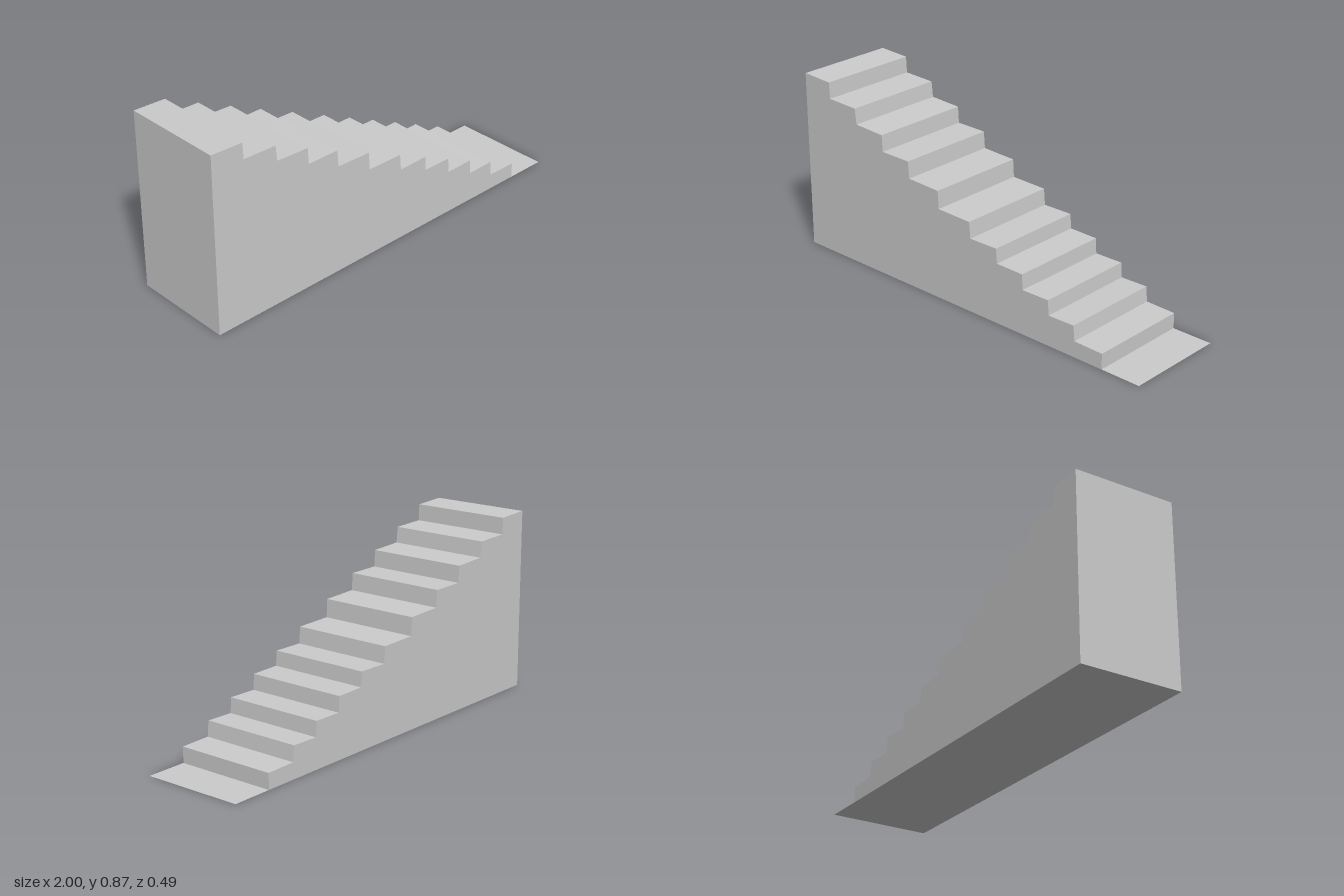
import * as THREE from 'three';

const DEPTH = 0.49;

// Each tread: [back x, back y, front x, front y], from the top down
const TREADS = [
  [-1, 0.865, -0.84, 0.858],
  [-0.836, 0.78, -0.67, 0.775],
  [-0.662, 0.7, -0.497, 0.693],
  [-0.492, 0.614, -0.331, 0.613],
  [-0.325, 0.532, -0.147, 0.526],
  [-0.142, 0.44, 0.043, 0.436],
  [0.05, 0.358, 0.203, 0.36],
  [0.208, 0.29, 0.354, 0.288],
  [0.358, 0.215, 0.502, 0.217],
  [0.507, 0.146, 0.645, 0.149],
  [0.652, 0.077, 0.802, 0.074],
];

export function createModel() {
  const model = new THREE.Group();
  model.name = 'staircase';

  // Solid flight of steps: stepped side profile extruded across its width
  const profile = new THREE.Shape();
  profile.moveTo(-1, 0);
  profile.lineTo(0.802, 0);
  for (const [backX, backY, frontX, frontY] of [...TREADS].reverse()) {
    profile.lineTo(frontX, frontY);
    profile.lineTo(backX, backY);
  }
  profile.closePath();
  const stepsGeometry = new THREE.ExtrudeGeometry(profile, { depth: DEPTH, bevelEnabled: false });
  stepsGeometry.translate(0, 0, -DEPTH / 2);
  const steps = new THREE.Mesh(
    stepsGeometry,
    new THREE.MeshStandardMaterial({ color: 0xcccccc, flatShading: true })
  );
  steps.name = 'steps';
  model.add(steps);

  // Thin landing sheet at the foot of the steps
  const landingGeometry = new THREE.PlaneGeometry(0.198, DEPTH);
  landingGeometry.rotateX(-Math.PI / 2);
  landingGeometry.translate(0.901, 0, 0);
  const landing = new THREE.Mesh(
    landingGeometry,
    new THREE.MeshStandardMaterial({ color: 0xcccccc, flatShading: true, side: THREE.DoubleSide })
  );
  landing.name = 'landing';
  model.add(landing);

  return model;
}
